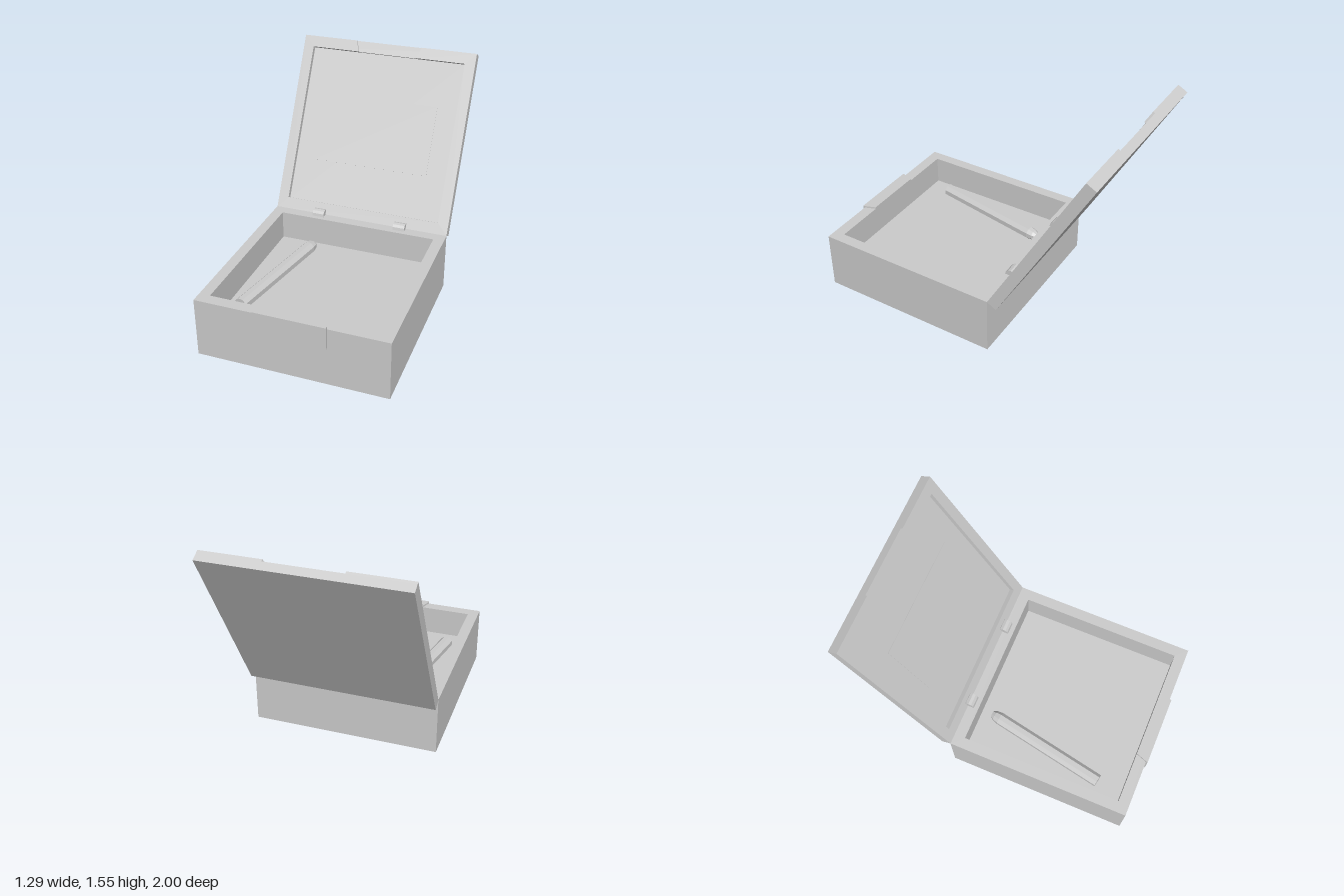
import * as THREE from 'three';

const mat = new THREE.MeshStandardMaterial({ color: 0xcccccc, flatShading: true });

const W = 0.645;            // half width of case
const IN = 0.57;            // half width of cavity
const BACK = -0.308, FRONT = 0.988, RIM = 0.415, FLOOR = 0.21;
const LID_L = 1.292, LID_T = 0.075, REC = 0.035, NOTCH = 0.015;

function add(parent, name, geometry, x = 0, y = 0, z = 0) {
  const mesh = new THREE.Mesh(geometry, mat);
  mesh.name = name;
  mesh.position.set(x, y, z);
  parent.add(mesh);
  return mesh;
}

const poly = (pts) => pts.map(([x, y]) => new THREE.Vector2(x, y));
const rect = (hw, y0, y1) => poly([[-hw, y0], [hw, y0], [hw, y1], [-hw, y1]]);

function extrude(outline, depth, hole) {
  const shape = new THREE.Shape(outline);
  if (hole) shape.holes.push(new THREE.Path(hole));
  return new THREE.ExtrudeGeometry(shape, { depth, bevelEnabled: false });
}

export function createModel() {
  const model = new THREE.Group();
  model.name = 'hingedCase';

  // Tray: wall ring with a floor slab filling its lower part
  const tray = new THREE.Group();
  tray.name = 'tray';
  model.add(tray);
  const c0 = -0.91, c1 = 0.231; // cavity range, measured along -z
  add(tray, 'trayWalls', extrude(rect(W, -FRONT, -BACK), RIM, rect(IN, c0, c1)).rotateX(-Math.PI / 2));
  add(tray, 'trayFloor', new THREE.BoxGeometry(2 * IN, FLOOR, c1 - c0), 0, FLOOR / 2, -(c0 + c1) / 2);

  // Latch: front plate and tapered tongue on the rim
  const latch = new THREE.Group();
  latch.name = 'latch';
  model.add(latch);
  add(latch, 'latchPlate', new THREE.BoxGeometry(0.486, 0.16, 0.012), 0, 0.348, 0.994);
  const tongue = poly([[-0.243, -FRONT], [0.243, -FRONT], [0.215, -0.91], [-0.215, -0.91]]);
  add(latch, 'latchTongue', extrude(tongue, 0.013).rotateX(-Math.PI / 2), 0, RIM, 0);

  // Open lid: local y runs up the lid, local z is its inner face
  const lid = new THREE.Group();
  lid.name = 'lid';
  lid.position.set(0, RIM, BACK);
  lid.rotation.x = -0.506;
  model.add(lid);
  const r0 = 0.08, r1 = 1.213;
  add(lid, 'lidBack', extrude(rect(W, 0, LID_L), LID_T - REC), 0, 0, -LID_T);
  add(lid, 'lidFrame', extrude(rect(W, 0, LID_L), REC - NOTCH, rect(IN, r0, r1)), 0, 0, -REC);
  // Rim layer interrupted by the tapered latch notch
  const rim = poly([
    [-W, 0], [W, 0], [W, LID_L], [0.245, LID_L], [0.217, r1], [IN, r1],
    [IN, r0], [-IN, r0], [-IN, r1], [-0.217, r1], [-0.245, LID_L], [-W, LID_L],
  ]);
  add(lid, 'lidRim', extrude(rim, NOTCH), 0, 0, -NOTCH);
  add(lid, 'lidLabelPlate', new THREE.BoxGeometry(0.845, 0.5, 0.005), 0, 0.641, -REC + 0.0005);

  // Hinge knuckles
  for (const side of [-1, 1]) {
    const knuckle = new THREE.CylinderGeometry(0.04, 0.04, 0.084, 12).rotateZ(Math.PI / 2);
    add(model, side > 0 ? 'leftHinge' : 'rightHinge', knuckle, side * 0.305, RIM, -0.303);
  }

  // Eight-sided stick with a tapered tip, lying on the tray floor
  const profile = poly([[0, 0], [0.046, 0], [0.046, 0.825], [0.038, 0.865], [0.026, 0.89], [0, 0.895]]);
  const stick = new THREE.LatheGeometry(profile, 8, Math.PI / 8).rotateX(-Math.PI / 2);
  add(model, 'stick', stick, -0.457, FLOOR + 0.0425, 0.727).rotation.y = -0.185;

  return model;
}
